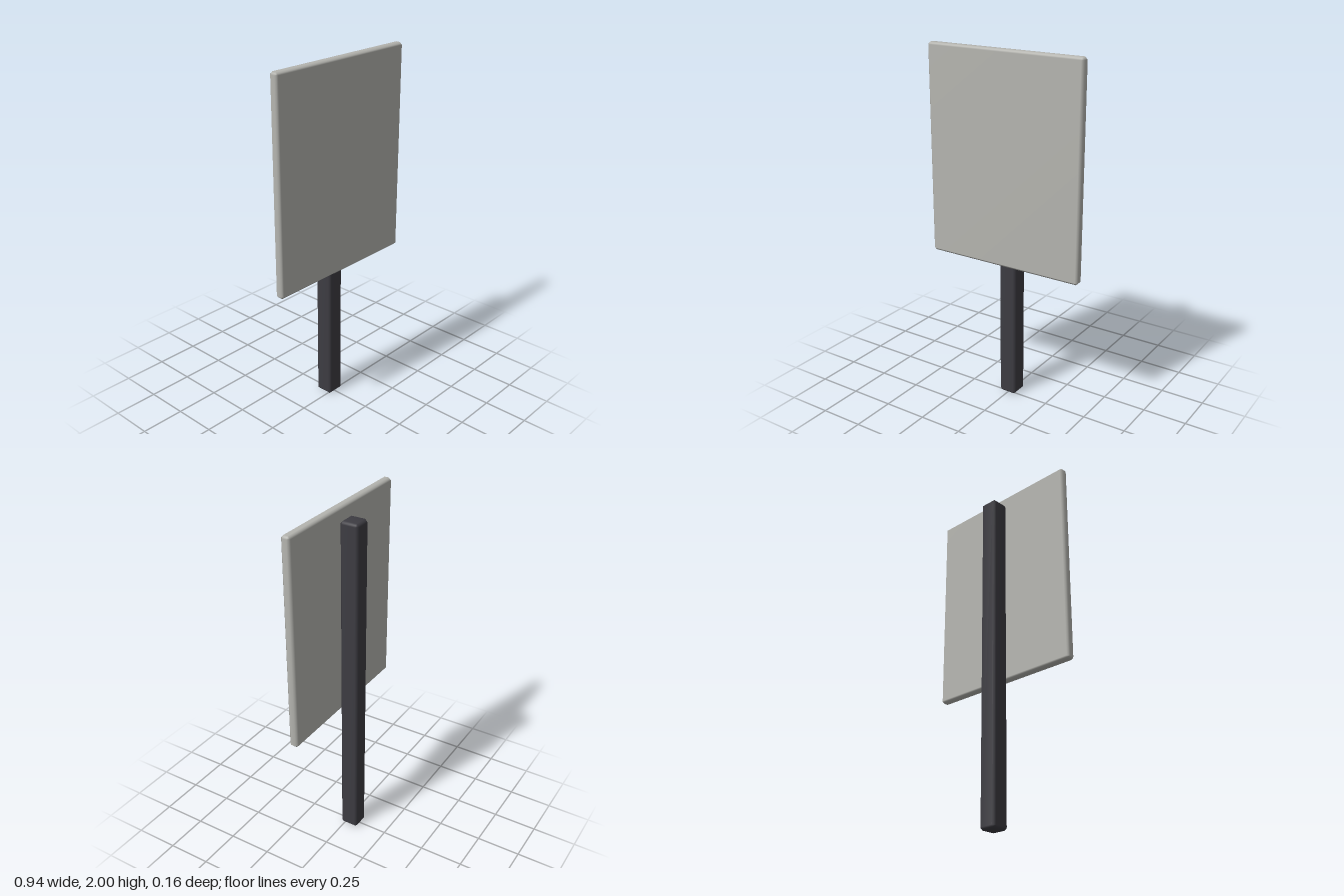
import * as THREE from 'three';
import { mergeVertices } from 'three/addons/utils/BufferGeometryUtils.js';

// Box with flat-cut edges and softly blended normals
function chamferedBox(w, h, d, cut) {
  const geo = new THREE.BoxGeometry(1, 1, 1, 3, 3, 3);
  geo.deleteAttribute('uv');
  geo.deleteAttribute('normal');
  const half = [w / 2, h / 2, d / 2];
  const pos = geo.attributes.position;
  for (let i = 0; i < pos.count; i++) {
    const p = [pos.getX(i), pos.getY(i), pos.getZ(i)];
    const outer = p.filter((v) => Math.abs(v) > 0.4).length;
    // Edges and corners sink onto the plane of the cut
    const inset = [0, 0, cut / 2, (cut * 2) / 3][outer];
    const q = p.map((v, k) => Math.sign(v) * (half[k] - (Math.abs(v) > 0.4 ? inset : cut)));
    pos.setXYZ(i, q[0], q[1], q[2]);
  }
  const merged = mergeVertices(geo, 1e-5);
  merged.computeVertexNormals();
  return merged;
}

export function createModel() {
  const group = new THREE.Group();
  group.name = 'signpost';

  const panelGrey = new THREE.MeshStandardMaterial({ color: 0xb5b5b0 });
  panelGrey.name = 'panel grey';
  const postCharcoal = new THREE.MeshStandardMaterial({ color: 0x3d3c42 });
  postCharcoal.name = 'post charcoal';

  // Square upright standing on the ground
  const post = new THREE.Mesh(chamferedBox(0.107, 1.935, 0.107, 0.015), postCharcoal);
  post.name = 'post';
  post.position.set(0, 0.9675, -0.0315);

  // Blank board fixed to the front of the post
  const panel = new THREE.Mesh(chamferedBox(0.944, 1.182, 0.053, 0.014), panelGrey);
  panel.name = 'signPanel';
  panel.position.set(0, 1.409, 0.0485);

  group.add(post, panel);
  return group;
}
